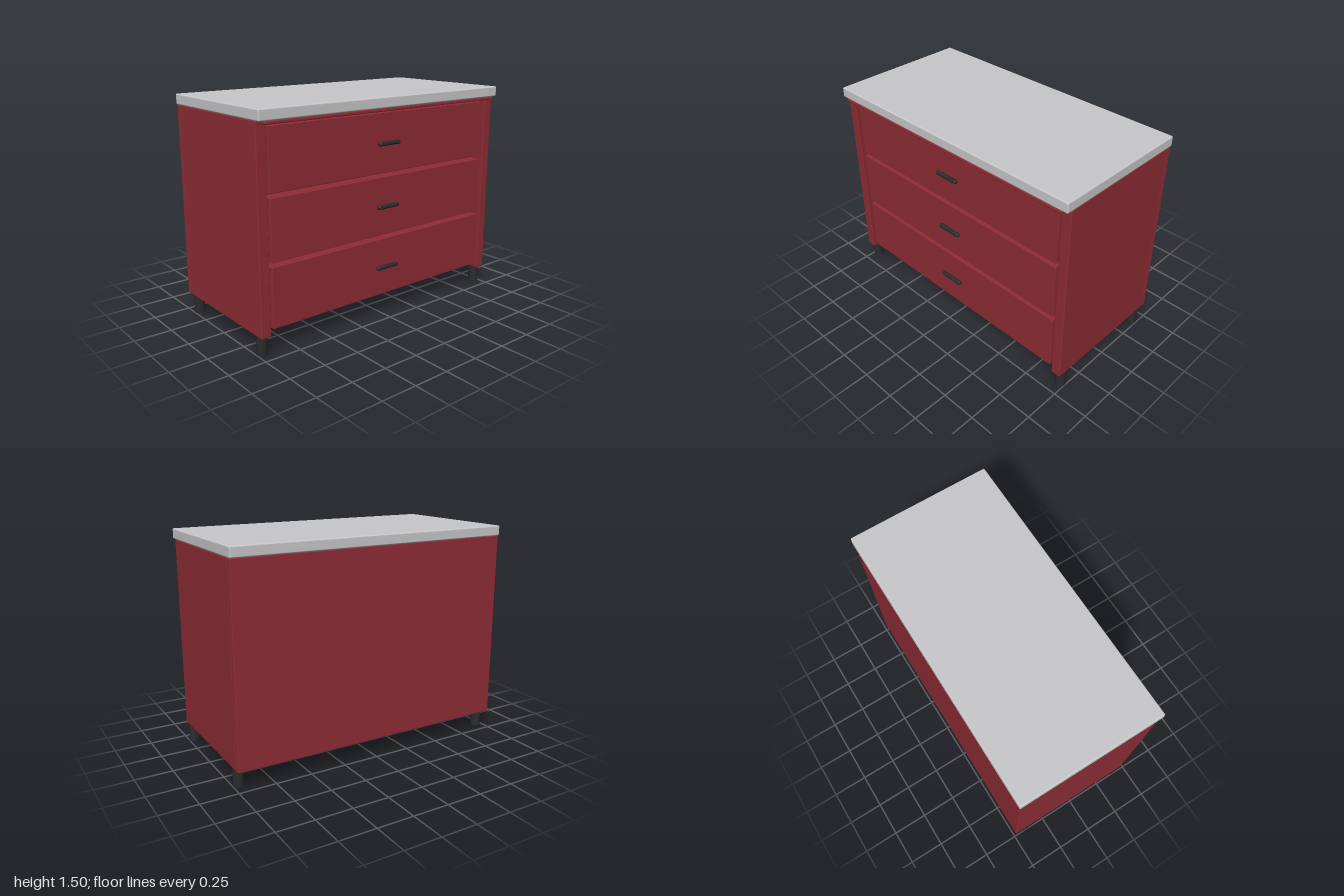
import * as THREE from 'three';
import { RoundedBoxGeometry } from 'three/addons/geometries/RoundedBoxGeometry.js';

export function createModel() {
  const model = new THREE.Group();
  model.name = 'drawerCabinet';

  const mat = (name, color) => {
    const m = new THREE.MeshStandardMaterial({ color });
    m.name = name;
    return m;
  };
  const red = mat('red paint', 0x8e2c35);
  const grey = mat('grey worktop', 0xc8c8ca);
  const black = mat('black fittings', 0x2a2b2c);

  // Box with softened edges, given by its limits on each axis
  function box(name, material, [x0, x1], [y0, y1], [z0, z1], radius = 0.006) {
    const geo = new RoundedBoxGeometry(x1 - x0, y1 - y0, z1 - z0, 3, radius);
    const mesh = new THREE.Mesh(geo, material);
    mesh.position.set((x0 + x1) / 2, (y0 + y1) / 2, (z0 + z1) / 2);
    mesh.name = name;
    model.add(mesh);
    return mesh;
  }

  // Worktop and the board under it, which juts out at the front
  box('worktop', grey, [-1, 1], [1.43, 1.5], [-0.5, 0.5], 0.009);
  box('topBoard', red, [-0.96, 0.96], [1.409, 1.43], [-0.46, 0.5]);

  // Carcass: back and two sides, open underneath
  box('backPanel', red, [-0.998, 0.998], [0.125, 1.43], [-0.49, -0.455]);
  box('leftSide', red, [0.93, 0.998], [0.125, 1.43], [-0.456, 0.46]);
  box('rightSide', red, [-0.998, -0.93], [0.125, 1.43], [-0.456, 0.46]);

  // Three drawer fronts with gaps around them, each with a bar handle
  for (let i = 0; i < 3; i++) {
    const y = 0.162 + i * 0.42;
    box('drawerFront', red, [-0.905, 0.905], [y, y + 0.392], [0.36, 0.448], 0.003);
    box('handle', black, [-0.09, 0.09], [y + 0.182, y + 0.209], [0.446, 0.476], 0.011);
  }

  // Round feet
  const footGeo = new THREE.CylinderGeometry(0.035, 0.035, 0.127, 32);
  for (const x of [-0.963, 0.963]) {
    for (const z of [-0.4, 0.4]) {
      const foot = new THREE.Mesh(footGeo, black);
      foot.position.set(x, 0.0635, z);
      foot.name = 'foot';
      model.add(foot);
    }
  }
  return model;
}
